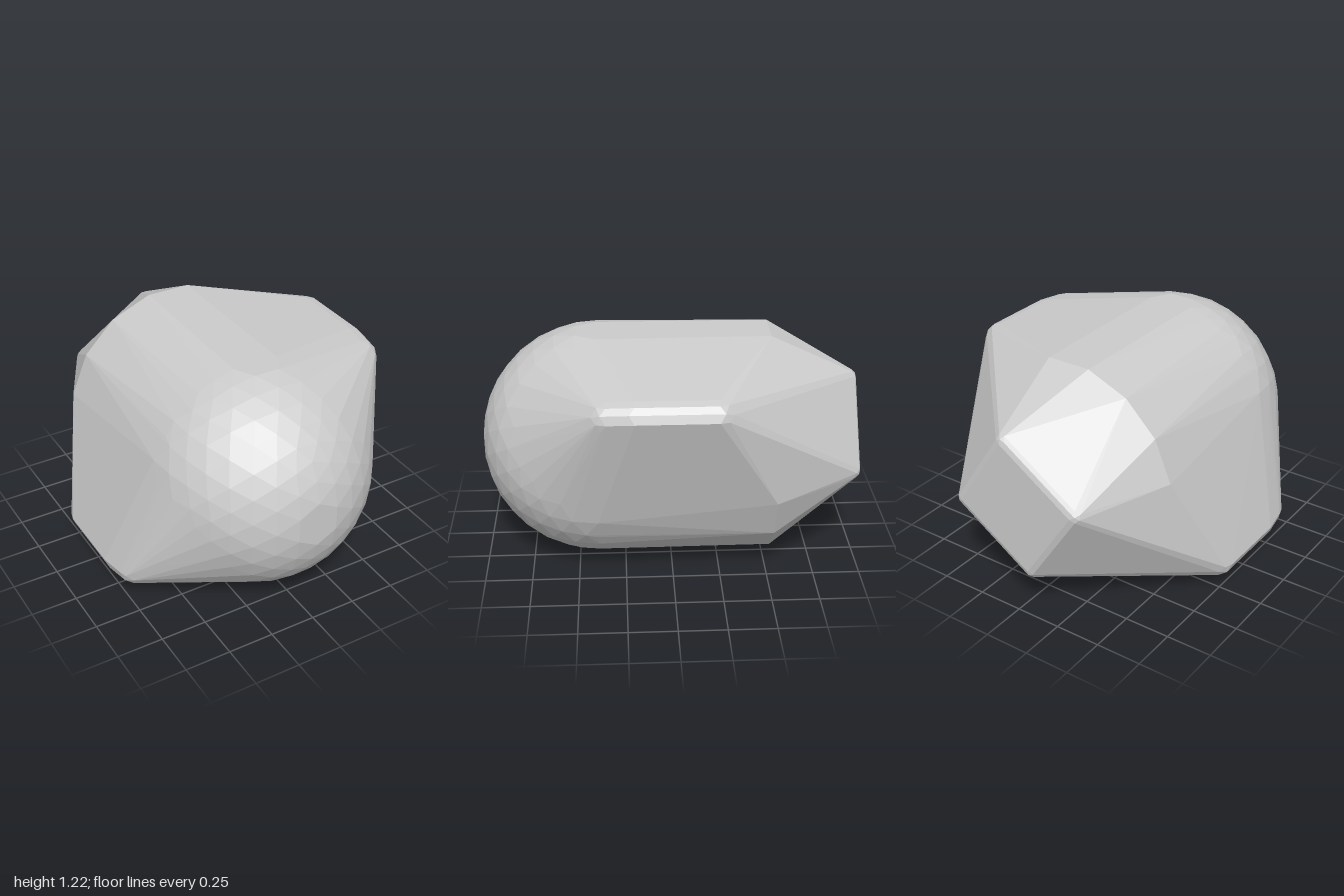
import * as THREE from 'three';
import { ConvexGeometry } from 'three/addons/geometries/ConvexGeometry.js';

const MID_Y = 0.61;    // height of the body axis
const HALF = 0.61;     // half width across the flats
const RADIUS = 0.622;  // radius at the facet corners

// Points of a small faceted ball, used to round a corner of the hull
function ball(x, y, z, radius, detail = 1) {
  const position = new THREE.IcosahedronGeometry(radius, detail).getAttribute('position');
  const centre = new THREE.Vector3(x, y, z);
  const seen = new Map();
  for (let i = 0; i < position.count; i++) {
    const p = new THREE.Vector3().fromBufferAttribute(position, i).add(centre);
    seen.set(p.toArray().map((v) => Math.round(v * 1e4)).join(), p);
  }
  return [...seen.values()];
}

export function createModel() {
  const points = [];

  // Rounded front: a faceted dome flattened slightly at its poles
  for (const p of ball(0, MID_Y, 0.39, 0.625, 5)) {
    if (p.z < 0.39) continue;
    p.x = THREE.MathUtils.clamp(p.x, -HALF, HALF);
    p.y = THREE.MathUtils.clamp(p.y, 0, 2 * HALF);
    p.z = Math.min(p.z, 1);
    points.push(p);
  }

  // Sixteen-sided barrel behind the dome
  for (const z of [-0.53, 0.4]) {
    for (let i = 0; i < 16; i++) {
      const a = ((i + 0.5) / 16) * Math.PI * 2;
      points.push(new THREE.Vector3(Math.cos(a) * RADIUS, MID_Y + Math.sin(a) * RADIUS, z));
    }
  }

  // Side ridges: high on the left, low on the right
  for (const [side, y] of [[1, 1.045], [-1, 0.145]]) {
    points.push(...ball(side * 0.715, y, -0.21, 0.086));
    points.push(...ball(side * 0.715, y, 0.2, 0.086));
    points.push(...ball(side * 0.695, y - side * 0.01, 0.34, 0.086));
  }

  // Square back face, turned slightly about z, with rounded corners
  for (let i = 0; i < 4; i++) {
    const a = -0.2 + (i * Math.PI) / 2;
    points.push(...ball(Math.cos(a) * 0.352, MID_Y + Math.sin(a) * 0.352, -0.95, 0.05));
  }

  const body = new THREE.Mesh(
    new ConvexGeometry(points),
    new THREE.MeshStandardMaterial({ color: 0xcccccc, flatShading: true })
  );
  body.name = 'facetedBody';

  const model = new THREE.Group();
  model.name = 'facetedHull';
  model.add(body);
  return model;
}
